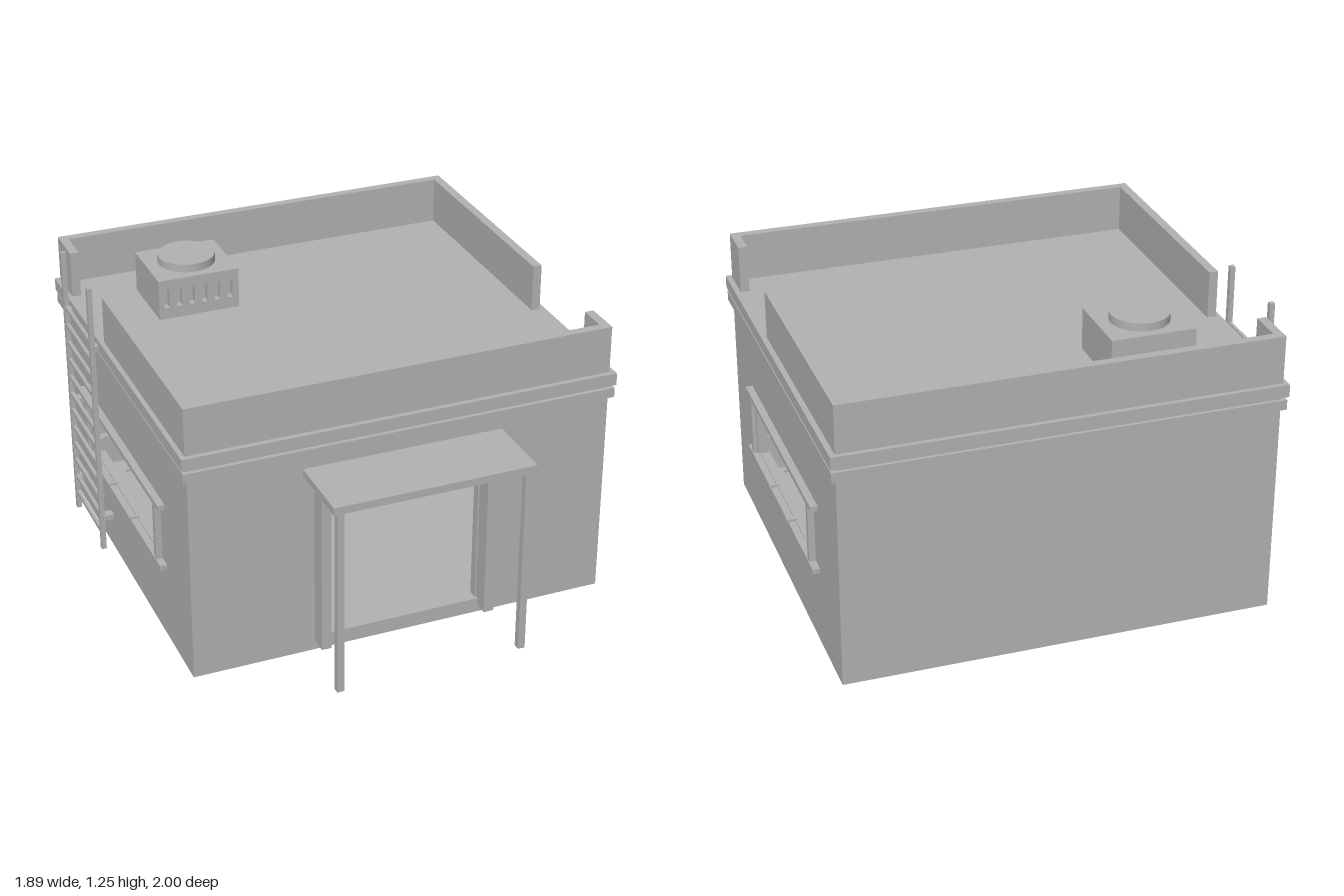
import * as THREE from 'three';

const concrete = new THREE.MeshStandardMaterial({ color: 0xb2b2b2 });
concrete.name = 'concrete grey';

const X0 = -0.885, X1 = 0.91, Z0 = -0.98, Z1 = 0.685; // outer wall faces
const T = 0.04; // wall thickness
const CX = (X0 + X1) / 2;

function add(parent, name, geometry) {
  const mesh = new THREE.Mesh(geometry, concrete);
  mesh.name = name;
  parent.add(mesh);
  return mesh;
}

// Box given by its limits on each axis
function box(parent, name, x0, x1, y0, y1, z0, z1) {
  const g = new THREE.BoxGeometry(x1 - x0, y1 - y0, z1 - z0);
  g.translate((x0 + x1) / 2, (y0 + y1) / 2, (z0 + z1) / 2);
  return add(parent, name, g);
}

// Upright panel with rectangular holes, each [u0, u1, v0, v1]
function panel(u0, u1, v0, v1, depth, holes) {
  const rect = (s, a, b, c, d) => s.moveTo(a, c).lineTo(b, c).lineTo(b, d).lineTo(a, d).closePath();
  const shape = rect(new THREE.Shape(), u0, u1, v0, v1);
  for (const h of holes) shape.holes.push(rect(new THREE.Path(), ...h));
  return new THREE.ExtrudeGeometry(shape, { depth, bevelEnabled: false });
}

function group(parent, name) {
  const g = new THREE.Group();
  g.name = name;
  parent.add(g);
  return g;
}

function buildShell(root) {
  const g = group(root, 'shell');
  box(g, 'floorSlab', X0, X1, 0, 0.075, Z0, Z1 - T);
  box(g, 'roofSlab', X0, X1, 0.9, 1.013, Z0, Z1);
  box(g, 'backWall', X0, X1, 0.075, 0.9, Z0, Z0 + T);
  add(g, 'frontWall', panel(X0, X1, 0, 0.9, T, [[-0.322, 0.343, 0.075, 0.71]])).position.z = Z1 - T;
  for (const x of [X0 + T, X1]) {
    const wall = panel(Z0 + T, Z1 - T, 0.075, 0.9, T, [[-0.58, 0.29, 0.36, 0.59]]);
    wall.rotateY(-Math.PI / 2);
    add(g, 'sideWall', wall).position.x = x;
  }
  // Two cornice bands
  box(g, 'lowerBand', -0.905, 0.93, 0.903, 0.945, -0.995, 0.702);
  box(g, 'upperBand', -0.91, 0.933, 0.96, 1.013, -1, 0.708);
}

// Parapet with a gap on each side
function buildParapet(root) {
  const g = group(root, 'parapet');
  const a = 1.013, b = 1.215, t = 0.038, x0 = -0.89;
  box(g, 'parapetBack', x0, X1, a, b, Z0, Z0 + t);
  box(g, 'parapetFront', x0, X1, a, b, Z1 - t, Z1);
  for (const [z0, z1] of [[Z0 + t, -0.796], [-0.336, Z1 - t]]) box(g, 'parapetRight', x0, x0 + t, a, b, z0, z1);
  for (const [z0, z1] of [[Z0 + t, 0.065], [0.525, Z1 - t]]) box(g, 'parapetLeft', X1 - t, X1, a, b, z0, z1);
}

// Roof ventilator with slotted front and round cap
function buildVent(root) {
  const g = group(root, 'roofVent');
  const x0 = -0.614, x1 = -0.26, top = 1.19;
  box(g, 'ventBody', x0, x1, 1.013, top, -0.757, -0.47);
  const slots = [];
  for (let i = 0; i < 6; i++) {
    const x = -0.58 + i * 0.056;
    slots.push([x - 0.012, x + 0.012, 1.065, 1.145]);
    box(g, 'slotLip', x - 0.008, x + 0.008, 1.06, 1.065, -0.445, -0.435);
  }
  add(g, 'ventFront', panel(x0, x1, 1.013, top, 0.03, slots)).position.z = -0.47;
  const cap = new THREE.CylinderGeometry(0.122, 0.122, 0.035, 40);
  add(g, 'ventCap', cap).position.set(-0.437, top + 0.0175, -0.6);
}

function buildEntrance(root) {
  const g = group(root, 'entrance');
  box(g, 'canopy', -0.413, 0.438, 0.82, 0.853, Z1, 1);
  for (const x of [-0.397, 0.393]) box(g, 'canopyPost', x, x + 0.03, 0, 0.82, 0.965, 0.995);
  box(g, 'doorLintel', -0.367, 0.394, 0.75, 0.797, Z1, 0.78);
  box(g, 'doorJamb', -0.367, -0.326, 0.043, 0.75, Z1, 0.76);
  box(g, 'doorJamb', 0.35, 0.394, 0.043, 0.75, Z1, 0.76);
  box(g, 'doorSill', -0.326, 0.35, 0.043, 0.075, Z1, 0.7);
}

// Window surround, built for the +x side; mirrored by position for the other
function buildWindow(root, name, side) {
  const g = group(root, name);
  const wall = side > 0 ? X1 : X0;
  const part = (label, d0, d1, y0, y1, z0, z1) => {
    const a = wall + side * d0, b = wall + side * d1;
    box(g, label, Math.min(a, b), Math.max(a, b), y0, y1, z0, z1);
  };
  part('windowHead', 0, 0.03, 0.613, 0.635, -0.685, 0.39);
  part('windowSill', 0, 0.03, 0.333, 0.355, -0.685, 0.39);
  for (const [z0, z1] of [[0.31, 0.335], [-0.625, -0.6]]) part('windowPost', 0, 0.027, 0.355, 0.605, z0, z1);
  for (const [z0, z1] of [[0.29, 0.31], [-0.6, -0.58]]) part('innerPost', 0, 0.01, 0.36, 0.6, z0, z1);
  part('innerHead', 0, 0.01, 0.59, 0.6, -0.6, 0.31);
  for (const z of [0, -0.295]) {
    part('clip', -0.01, 0.035, 0.585, 0.595, z - 0.007, z + 0.007);
    part('clip', -0.01, 0.035, 0.355, 0.365, z - 0.007, z + 0.007);
  }
}

function buildLadder(root) {
  const g = group(root, 'ladder');
  for (const z of [-0.375, -0.75]) {
    box(g, 'ladderRail', -0.943, -0.922, 0, 1.25, z - 0.011, z + 0.011);
    for (const y of [0.157, 0.54, 0.975]) box(g, 'wallBracket', -0.93, X0, y - 0.012, y + 0.012, z - 0.02, z + 0.02);
  }
  for (let i = 0; i < 12; i++) {
    const y = 0.08 + i * 0.083;
    box(g, 'rung', -0.94, -0.925, y - 0.009, y + 0.009, -0.74, -0.385);
  }
}

// Simple furniture seen through the openings
function buildInterior(root) {
  const g = group(root, 'interior');
  const f = 0.075;
  box(g, 'bed', -0.6, -0.015, f, 0.163, -0.92, -0.6);
  box(g, 'pillow', -0.14, -0.03, 0.163, 0.187, -0.88, -0.64);
  box(g, 'locker', -0.42, -0.34, f, 0.54, -0.497, -0.067);
  box(g, 'bench', X0 + T, -0.65, f, 0.33, -0.13, 0.25);
  box(g, 'desk', 0.23, 0.82, f, 0.317, -0.93, -0.62);
  box(g, 'deskTop', 0.255, 0.75, 0.317, 0.335, -0.9, -0.66);
}

export function createModel() {
  const root = new THREE.Group();
  root.name = 'guardHouse';
  buildShell(root);
  buildParapet(root);
  buildVent(root);
  buildEntrance(root);
  buildWindow(root, 'leftWindow', 1);
  buildWindow(root, 'rightWindow', -1);
  buildLadder(root);
  buildInterior(root);
  return root;
}
